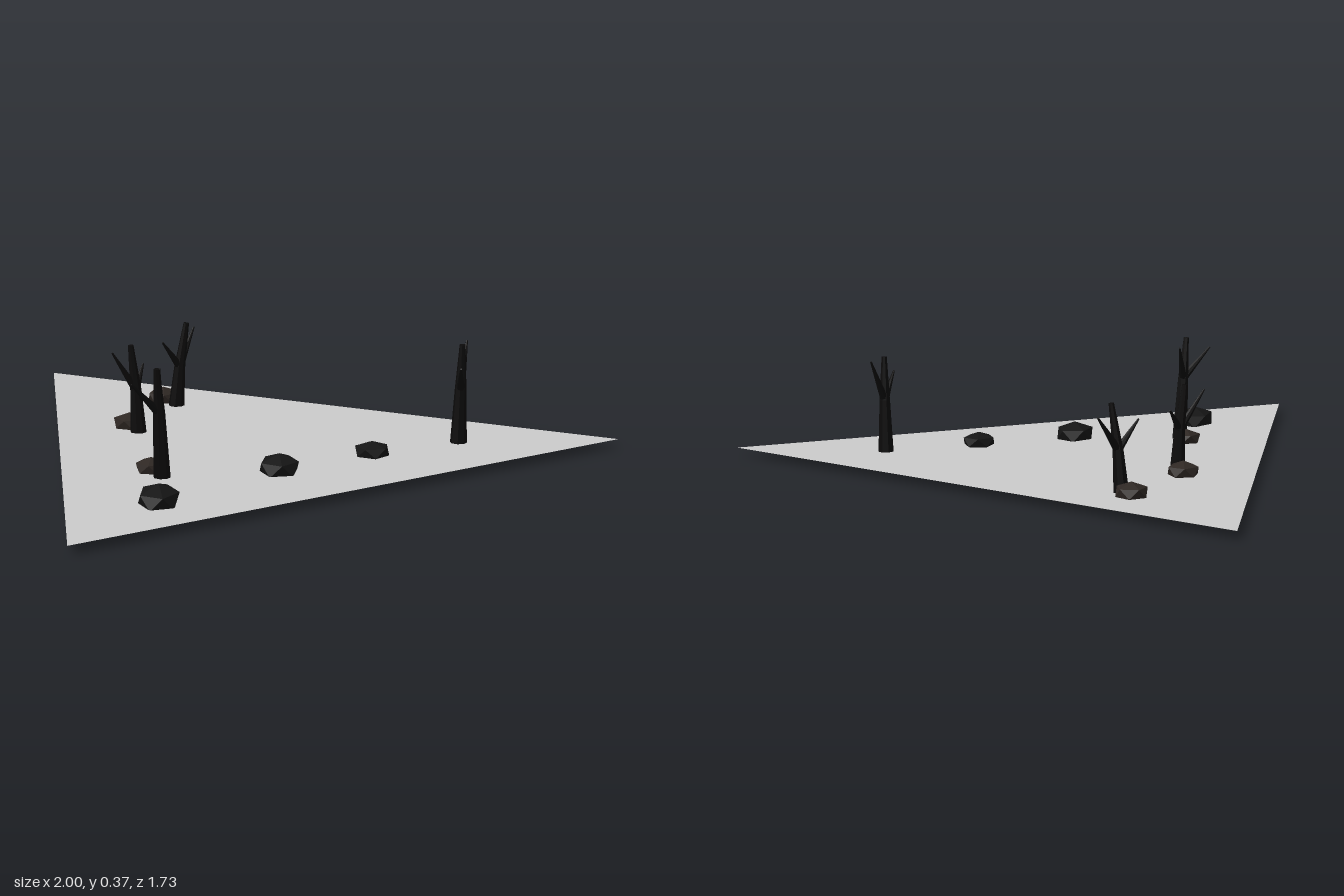
import * as THREE from 'three';

const mat = (color, extra = {}) => new THREE.MeshStandardMaterial({ color, flatShading: true, ...extra });
const bark = mat(0x0b0a0a);
const darkStone = mat(0x151515);
const brownStone = mat(0x2e2723);

// Tapered limb between two points
function limb(name, from, to, r0, r1) {
  const a = new THREE.Vector3(...from), b = new THREE.Vector3(...to);
  const dir = b.clone().sub(a);
  const mesh = new THREE.Mesh(new THREE.CylinderGeometry(r1, r0, dir.length(), 8), bark);
  mesh.position.copy(a).add(b).multiplyScalar(0.5);
  mesh.quaternion.setFromUnitVectors(new THREE.Vector3(0, 1, 0), dir.normalize());
  mesh.name = name;
  return mesh;
}

// Bare tree: leaning trunk, thinner leader, two side branches from the fork
function tree({ base, fork, top, tips }) {
  const g = new THREE.Group();
  g.name = 'bareTree';
  g.add(limb('trunk', base, fork, 0.027, 0.018));
  g.add(limb('leader', fork, top, 0.018, 0.009));
  for (const tip of tips) g.add(limb('branch', fork, tip, 0.014, 0.003));
  return g;
}

// Flattened rock with a corner pointing up
function rock(x, z, rx, ry, rz, turn, material) {
  const geo = new THREE.IcosahedronGeometry(1, 0);
  geo.rotateX(-Math.atan((1 + Math.sqrt(5)) / 2));
  geo.scale(rx / 0.894, ry, rz / 0.894);
  const mesh = new THREE.Mesh(geo, material);
  mesh.position.set(x, 0.045, z);
  mesh.rotation.y = turn;
  mesh.name = 'rock';
  return mesh;
}

export function createModel() {
  const model = new THREE.Group();
  model.name = 'triangularGround';

  // Triangular ground sheet, crossing the lower part of trunks and rocks
  const h = 0.866;
  const shape = new THREE.Shape([
    new THREE.Vector2(-1, -h), new THREE.Vector2(1, -h), new THREE.Vector2(0, h),
  ]);
  const ground = new THREE.Mesh(
    new THREE.ShapeGeometry(shape).rotateX(-Math.PI / 2),
    mat(0xcccccc, { side: THREE.DoubleSide }),
  );
  ground.position.y = 0.03;
  ground.name = 'ground';
  model.add(ground);

  // Trees
  const trees = [
    { base: [-0.41, 0.01, 0.435], fork: [-0.43, 0.23, 0.45], top: [-0.447, 0.367, 0.463],
      tips: [[-0.53, 0.33, 0.455], [-0.388, 0.345, 0.387]] },
    { base: [-0.185, 0.01, -0.042], fork: [-0.19, 0.165, -0.05], top: [-0.205, 0.308, -0.055],
      tips: [[-0.27, 0.29, -0.06], [-0.14, 0.235, -0.085]] },
    { base: [0.1, 0.01, -0.26], fork: [0.108, 0.16, -0.25], top: [0.125, 0.305, -0.237],
      tips: [[0.035, 0.25, -0.24], [0.193, 0.273, -0.295]] },
    { base: [0.565, 0.01, 0.617], fork: [0.565, 0.2, 0.622], top: [0.562, 0.342, 0.63],
      tips: [[0.51, 0.283, 0.688], [0.625, 0.337, 0.575]] },
  ];
  for (const t of trees) model.add(tree(t));

  // Rocks: three along the front edge, three beside the trees
  model.add(
    rock(-0.57, 0.66, 0.08, 0.043, 0.06, 0.9, darkStone),
    rock(-0.09, 0.58, 0.069, 0.041, 0.059, 0.8, darkStone),
    rock(0.25, 0.59, 0.052, 0.03, 0.052, 0.2, darkStone),
    rock(-0.405, 0.367, 0.046, 0.029, 0.046, 0.5, brownStone),
    rock(-0.175, -0.11, 0.05, 0.032, 0.05, 0.3, brownStone),
    rock(0.098, -0.33, 0.05, 0.032, 0.05, 0.7, brownStone),
  );
  return model;
}
